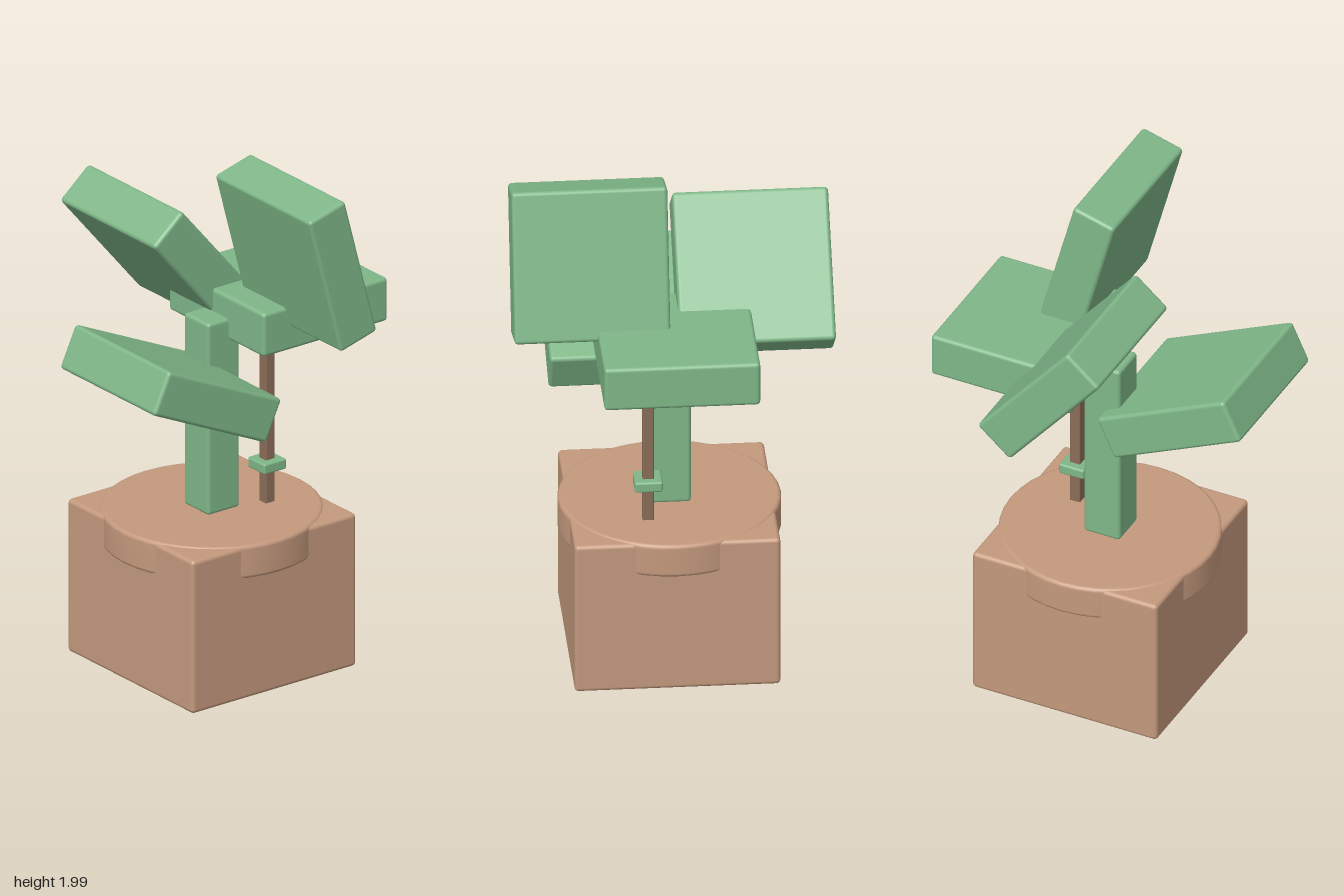
import * as THREE from 'three';
import { RoundedBoxGeometry } from 'three/addons/geometries/RoundedBoxGeometry.js';

const mat = (name, color) => {
  const m = new THREE.MeshStandardMaterial({ color });
  m.name = name;
  return m;
};

export function createModel() {
  const group = new THREE.Group();
  group.name = 'pottedPlant';
  const green = mat('leafGreen', 0x7fb788);
  const terracotta = mat('terracotta', 0xc4997d);
  const wood = mat('stakeBrown', 0x8b6d58);

  // Softly bevelled box placed by its centre, tilted about z
  const block = (name, size, pos, material, bevel = 0.014, tilt = 0) => {
    const mesh = new THREE.Mesh(new RoundedBoxGeometry(...size, 3, bevel), material);
    mesh.name = name;
    mesh.position.set(...pos);
    mesh.rotation.z = THREE.MathUtils.degToRad(tilt);
    group.add(mesh);
  };

  // Square pot
  block('pot', [0.765, 0.613, 0.765], [0, 0.3115, 0], terracotta, 0.016);

  // Round rim disc with softened edges, bulging through the pot sides
  const r = 0.415, y0 = 0.49, y1 = 0.624, b = 0.016;
  const profile = [new THREE.Vector2(0, y0)];
  for (let i = 0; i <= 4; i++) {
    const a = -Math.PI / 2 + (i / 4) * (Math.PI / 2);
    profile.push(new THREE.Vector2(r - b + b * Math.cos(a), y0 + b + b * Math.sin(a)));
  }
  for (let i = 0; i <= 4; i++) {
    const a = (i / 4) * (Math.PI / 2);
    profile.push(new THREE.Vector2(r - b + b * Math.cos(a), y1 - b + b * Math.sin(a)));
  }
  profile.push(new THREE.Vector2(0, y1));
  const rim = new THREE.Mesh(new THREE.LatheGeometry(profile, 40), terracotta);
  rim.name = 'potRim';
  group.add(rim);

  // Trunk, support stake and its clip
  block('trunk', [0.15, 0.77, 0.15], [0, 1.005, 0], green);
  block('stake', [0.042, 0.78, 0.042], [0.185, 1.0, 0.095], wood, 0.005);
  block('clip', [0.104, 0.042, 0.104], [0.185, 0.776, 0.095], green, 0.008);

  // Four equal slab leaves: centre and tilt
  const leaves = [
    [[0.31, 1.392, 0], 0],
    [[-0.308, 1.241, 0.152], -25],
    [[0, 1.547, -0.31], -50],
    [[0.155, 1.7, 0.31], -75],
  ];
  leaves.forEach(([pos, tilt], i) =>
    block(`leaf${i + 1}`, [0.58, 0.175, 0.58], pos, green, 0.015, tilt));

  return group;
}
